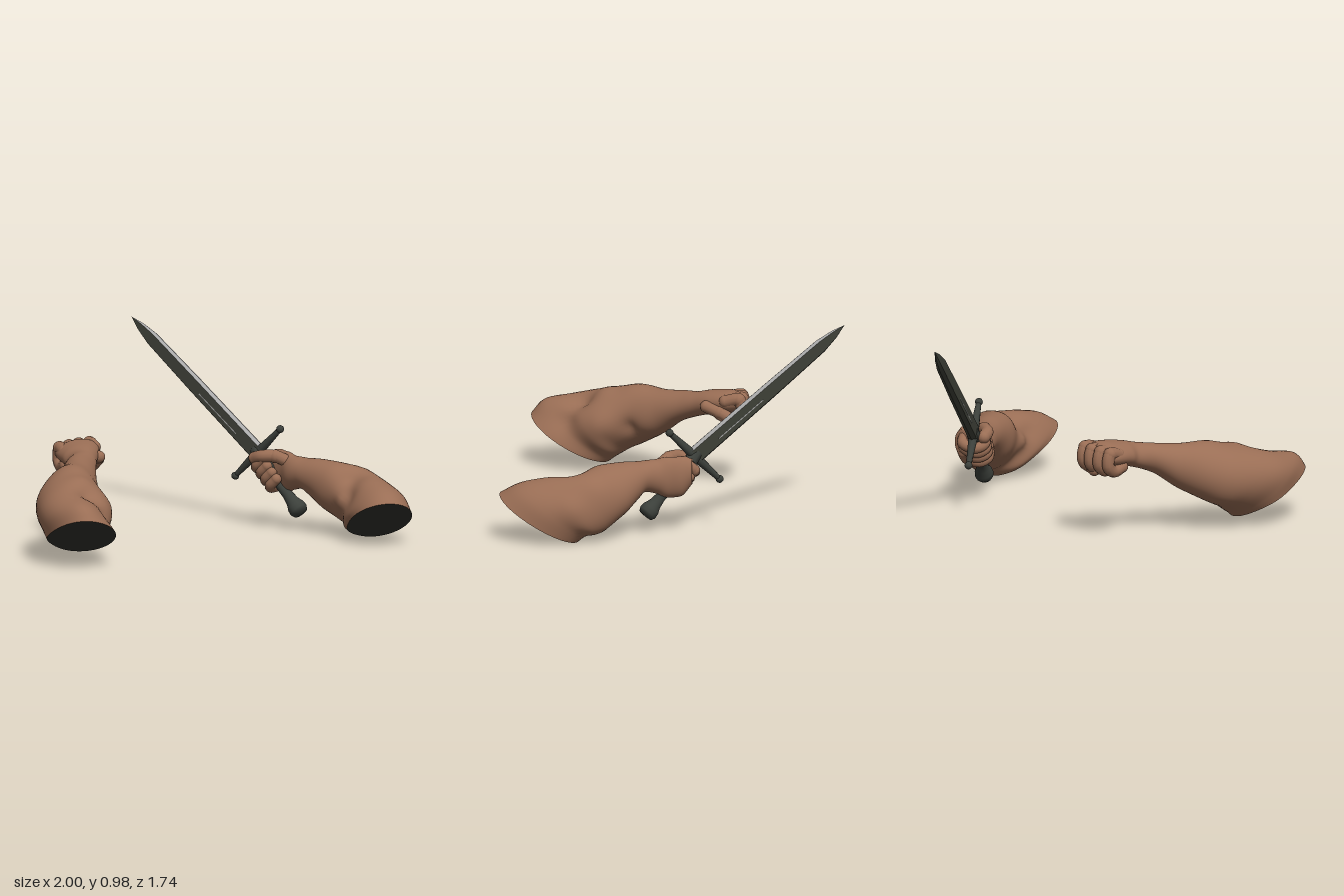
import * as THREE from 'three';

const V = (x, y, z) => new THREE.Vector3(x, y, z);
const mat = (name, color, side = THREE.FrontSide) => {
  const m = new THREE.MeshStandardMaterial({ color, side });
  m.name = name;
  return m;
};

function add(parent, name, geometry, material, pos) {
  const mesh = new THREE.Mesh(geometry, material);
  mesh.name = name;
  if (pos) mesh.position.copy(pos);
  parent.add(mesh);
  return mesh;
}

// Indexed geometry from points and triangle indices
function build(points, index) {
  const g = new THREE.BufferGeometry().setFromPoints(points);
  g.setIndex(index);
  g.computeVertexNormals();
  return g;
}

// Group whose local y runs along "axis" and z close to "side"
function frame(parent, name, position, axis, side) {
  const group = new THREE.Group();
  group.name = name;
  const z = side.clone().addScaledVector(axis, -side.dot(axis)).normalize();
  const x = new THREE.Vector3().crossVectors(axis, z);
  group.quaternion.setFromRotationMatrix(new THREE.Matrix4().makeBasis(x, axis, z));
  group.position.copy(position);
  parent.add(group);
  return group;
}

// Loft through oval sections [centre, half height vector, half width vector];
// bumps [x, y, z, amount, radius] swell or dent the muscles
function armLoft(parent, sections, bumps, skin, cutMat) {
  const curves = [0, 3, 6].map(k =>
    new THREE.CatmullRomCurve3(sections.map(r => V(r[k], r[k + 1], r[k + 2]))));
  const R = 70, S = 44, pts = [], idx = [];
  for (let i = 0; i <= R; i++) {
    const [c, u, s] = curves.map(q => q.getPoint(i / R));
    for (let j = 0; j < S; j++) {
      const a = j / S * Math.PI * 2;
      const p = c.clone().addScaledVector(s, Math.cos(a)).addScaledVector(u, Math.sin(a));
      const out = p.clone().sub(c).normalize();
      let d = 0;
      for (const [x, y, z, amount, r] of bumps) d += amount * Math.exp(-p.distanceToSquared(V(x, y, z)) / (r * r));
      pts.push(p.addScaledVector(out, d));
    }
  }
  for (let i = 0; i < R; i++) for (let j = 0; j < S; j++) {
    const a = i * S + j, b = i * S + (j + 1) % S;
    idx.push(a, a + S, b, b, a + S, b + S);
  }
  const last = sections[sections.length - 1];
  pts.push(V(last[0], last[1], last[2]));
  for (let j = 0; j < S; j++) idx.push(pts.length - 1, R * S + (j + 1) % S, R * S + j);
  add(parent, 'armSkin', build(pts, idx), skin);

  // Dark flat cut at the upper end
  const ring = pts.slice(0, S), fan = [];
  const mid = ring.reduce((m, p) => m.add(p), V(0, 0, 0)).divideScalar(S);
  for (let j = 0; j < S; j++) fan.push(S, j, (j + 1) % S);
  add(parent, 'armCut', build([...ring, mid], fan), cutMat);
}

// Rounded finger along a curve
function finger(parent, name, points, r, material) {
  const group = new THREE.Group();
  group.name = name;
  const curve = new THREE.CatmullRomCurve3(points);
  add(group, 'fingerBody', new THREE.TubeGeometry(curve, 20, r, 12), material);
  for (const p of [points[0], points[points.length - 1]])
    add(group, 'fingerEnd', new THREE.SphereGeometry(r, 12, 10), material, p);
  add(group, 'knuckle', new THREE.SphereGeometry(r * 1.08, 12, 10), material, points[1]);
  parent.add(group);
}

export function createModel() {
  const model = new THREE.Group();
  model.name = 'armsWithSword';
  const skin = mat('skin', 0x9a6e55);
  const cut = mat('dark cut', 0x32322d, THREE.DoubleSide);
  const metal = mat('dark metal', 0x3c403b);
  const flat = mat('blade flat', 0x3f4138);
  const edge = mat('blade edge', 0xa8a8a8);

  // Empty arm ending in a closed fist
  const fistArm = new THREE.Group();
  fistArm.name = 'fistArm';
  model.add(fistArm);
  armLoft(fistArm, [
    [-.825, .152, .535, -.035, .105, .2, .165, -.032, .02],
    [-.825, .195, .47, -.04, .13, .16, .168, -.032, .03],
    [-.79, .235, .38, -.02, .145, .11, .175, -.03, .06],
    [-.75, .27, .27, 0, .15, .05, .148, -.02, .09],
    [-.69, .302, .16, 0, .14, .01, .113, 0, .08],
    [-.6, .34, .06, 0, .11, 0, .08, 0, .06],
    [-.525, .385, -.04, 0, .078, -.01, .066, 0, .045],
    [-.475, .407, -.11, 0, .064, 0, .062, .005, .035],
    [-.445, .425, -.18, 0, .063, 0, .092, .008, .02],
    [-.415, .435, -.27, 0, .062, 0, .112, .01, .015],
    [-.408, .435, -.335, 0, .048, 0, .1, .01, .01],
  ], [[-.6, .26, .38, .022, .07], [-.6, .26, .24, -.02, .04], [-.58, .28, .14, .015, .07],
    [-.97, .28, .42, .01, .1], [-.8, .2, .2, .015, .06], [-.7, .44, .2, .015, .09],
    [-.88, .31, .66, .03, .08], [-.76, .36, .5, -.05, .075], [-.69, .27, .58, -.025, .06],
    [-.74, .41, .36, .012, .06], [-.94, .11, .46, .02, .08]], skin, cut);
  const palm = V(-.41, .435, -.262), fwd = V(.13, 0, -.99), lat = V(.98, .08, .13);
  const fist = (l, f, y) => palm.clone().addScaledVector(lat, l).addScaledVector(fwd, f).add(V(0, y, 0));
  for (let i = 0; i < 4; i++) {
    const l = (i - 1.5) * .056, k = [-.012, 0, .006, 0][i], drop = [.012, .004, 0, 0][i];
    finger(fistArm, 'fistFinger', [fist(l, 0, .012), fist(l, .072 + k, .022),
      fist(l, .085 + k, -.04), fist(l, .035, -.082 + drop), fist(l, -.025, -.055)], .032, skin);
  }
  finger(fistArm, 'fistThumb', [fist(.07, -.1, -.02), fist(.09, -.03, -.045),
    fist(.08, .035, -.08), fist(.03, .06, -.086)], .031, skin);

  // Arm holding the sword
  const swordArm = new THREE.Group();
  swordArm.name = 'swordArm';
  model.add(swordArm);
  armLoft(swordArm, [
    [.82, .12, .665, -.03, .115, .2, .155, -.02, .02],
    [.825, .155, .6, -.02, .125, .17, .16, 0, 0],
    [.835, .185, .5, -.02, .14, .12, .145, 0, -.02],
    [.81, .215, .4, 0, .145, .07, .132, 0, -.05],
    [.755, .25, .3, 0, .125, .05, .11, 0, -.06],
    [.705, .28, .21, 0, .1, .02, .088, 0, -.045],
    [.665, .297, .14, 0, .08, 0, .07, 0, -.03],
    [.642, .292, .08, 0, .088, 0, .062, 0, -.02],
    [.638, .287, .02, 0, .105, 0, .053, 0, -.01],
    [.636, .292, -.05, 0, .103, 0, .053, 0, 0],
    [.625, .315, -.105, 0, .065, 0, .042, 0, 0],
  ], [[.97, .2, .5, .012, .06], [.69, .2, .49, .02, .04], [.7, .24, .57, -.015, .05],
    [.9, .3, .36, .012, .08], [.7, .2, .32, .015, .07], [.86, .1, .36, .01, .06],
    [.76, .31, .5, -.055, .08], [.79, .26, .75, .012, .09], [.74, .05, .53, .015, .07]], skin, cut);

  const guardAt = V(.54, .375, -.115), pommelAt = V(.642, .12, .107);
  const down = pommelAt.clone().sub(guardAt).normalize();
  const reach = V(-.35, .1, -.93);
  reach.addScaledVector(down, -reach.dot(down)).normalize();
  const out = new THREE.Vector3().crossVectors(reach, down).normalize();
  if (out.x < 0) out.negate();
  for (let i = 0; i < 4; i++) {
    const c = guardAt.clone().addScaledVector(down, .062 + i * .042);
    const at = (f, o) => c.clone().addScaledVector(reach, f).addScaledVector(out, o);
    finger(swordArm, 'gripFinger', [at(-.045, .06), at(.025, .06), at(.047, -.01),
      at(.015, -.05), at(-.035, -.045)], .028, skin);
  }
  finger(swordArm, 'gripThumb', [V(.625, .345, .06), V(.57, .372, .015),
    V(.518, .37, -.03), V(.503, .355, -.08)], .032, skin);

  // Blade: dark flats, pale upper edge
  const axis = V(.225, .985, -.868).sub(guardAt), length = axis.length();
  axis.normalize();
  const guardDir = V(.07, .13, .145);
  const blade = frame(model, 'blade', guardAt, axis, guardDir);
  const section = [[0, .048], [.022, .038], [.022, -.034], [0, -.048], [-.022, -.034], [-.022, .038]];
  const steps = [[0, 1], [.5, .93], [.84, .8], [.93, .48], [1, 0]];
  section.forEach(([x, z], k) => {
    const [x2, z2] = section[(k + 1) % 6], pts = [], idx = [];
    steps.forEach(([t, w], i) => {
      pts.push(V(x * w, t * length, z * w), V(x2 * w, t * length, z2 * w));
      const a = i * 2;
      if (i) idx.push(a - 2, a - 1, a + 1, a - 2, a + 1, a);
    });
    const upper = k === 0 || k === 5;
    add(blade, upper ? 'bladeUpperEdge' : 'bladeSide', build(pts, idx), upper ? edge : flat);
  });
  for (const s of [-1, 1])
    add(blade, 'bladeGroove', new THREE.BoxGeometry(.002, .3, .005), edge, V(s * .0212, .3, -.006));

  // Hilt: cross guard with knobs, grip and pommel
  const hilt = frame(model, 'hilt', guardAt, down.clone().negate(), guardDir);
  add(hilt, 'guardBlock', new THREE.CylinderGeometry(.028, .038, .06, 8), metal);
  for (const s of [-1, 1]) {
    const bar = add(hilt, 'guardBar', new THREE.CylinderGeometry(.013, .025, .19, 10), metal, V(0, 0, s * .1));
    bar.rotation.x = s * Math.PI / 2;
    add(hilt, 'guardKnob', new THREE.SphereGeometry(.02, 14, 10), metal, V(0, 0, s * .193));
  }
  const len = guardAt.distanceTo(pommelAt);
  const profile = [[0, -len - .045], [.038, -len - .04], [.048, -len - .02], [.046, -len + .005],
    [.034, -len + .035], [.027, -len + .08], [.03, -.1], [.026, 0], [0, 0]];
  add(hilt, 'gripAndPommel', new THREE.LatheGeometry(
    profile.map(p => new THREE.Vector2(p[0], p[1])), 20), metal);

  return model;
}
